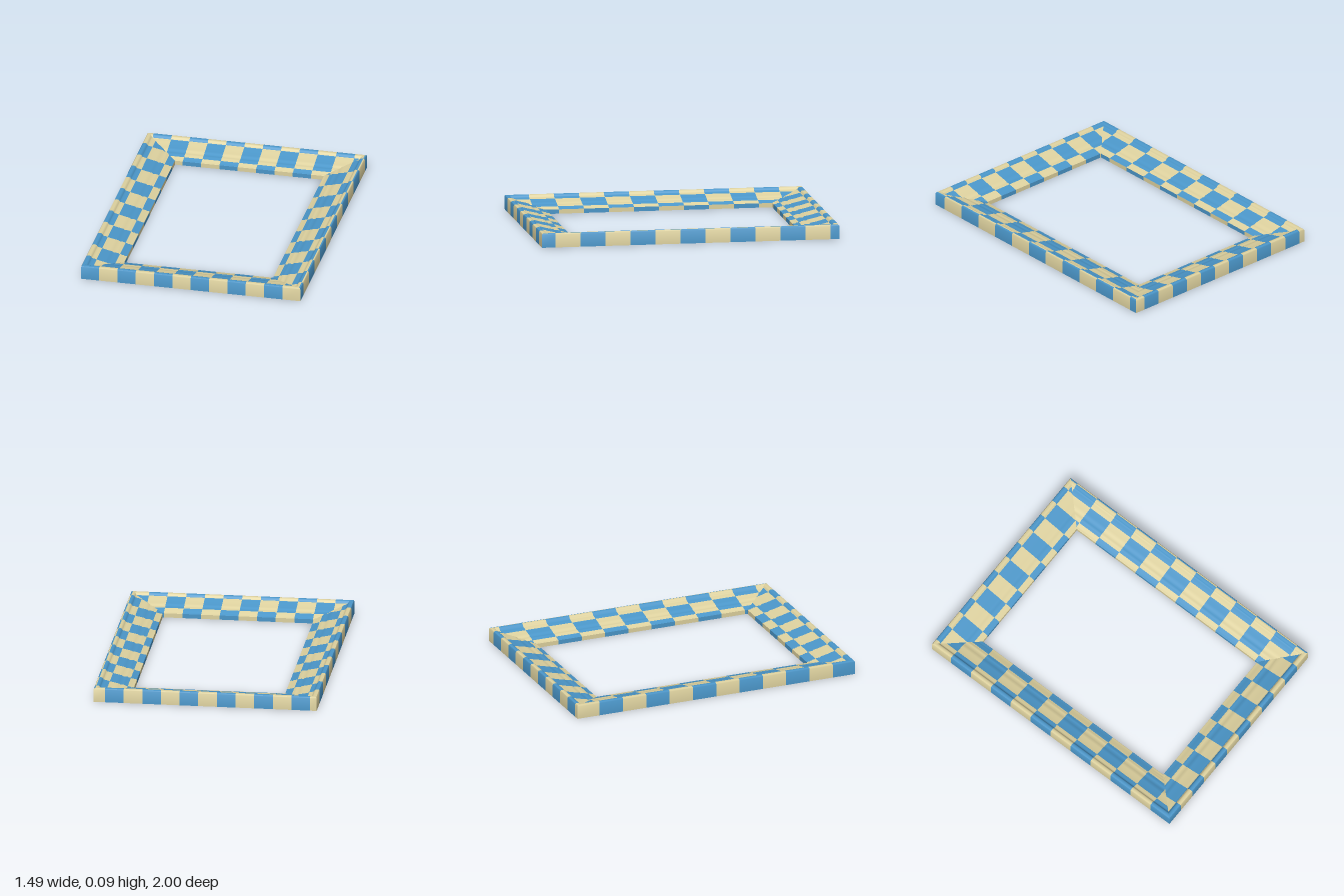
import * as THREE from 'three';
import { toCreasedNormals } from 'three/addons/utils/BufferGeometryUtils.js';

const HALF_X = 0.745, HALF_Z = 1;

// Moulding cross-section: [distance in from the outer edge, height]
const PROFILE = [
  [0, 0], [0, 0.086], [0.004, 0.093], [0.012, 0.095], [0.024, 0.095], [0.032, 0.091],
  [0.036, 0.084], [0.04, 0.079], [0.05, 0.077], [0.06, 0.075], [0.07, 0.072], [0.08, 0.069],
  [0.1, 0.064], [0.12, 0.06], [0.14, 0.056], [0.148, 0.049], [0.165, 0.049],
  [0.18, 0.047], [0.186, 0.042], [0.19, 0.041], [0.2, 0.041], [0.205, 0.037], [0.217, 0.036],
  [0.222, 0.032], [0.234, 0.032], [0.24, 0.029],
  [0.24, 0], [0.19, 0], [0.06, 0], [0, 0],
];

// Each rail: placement, tile size and offset along its length, checker phase,
// rows of the outer wall and inner lip, and where the middle row starts (rim) and ends (inner)
const RAILS = [
  { name: 'frontRail', half: HALF_X, flip: false, step: 0.1245, offset: 0, phase: 1, wall: 1, lip: 1,
    rim: 0.04, inner: 0.18, place: (u, d, y) => [u, y, HALF_Z - d] },
  { name: 'backRail', half: HALF_X, flip: true, step: 0.1245, offset: 0.046, phase: 1, wall: 1, lip: 1,
    rim: 0.04, inner: 0.2, place: (u, d, y) => [u, y, d - HALF_Z] },
  { name: 'leftRail', half: HALF_Z, flip: true, step: 0.168, offset: 0.07, phase: 1, wall: 0, lip: 1,
    rim: 0.08, inner: 0.2, place: (u, d, y) => [HALF_X - d, y, u] },
  { name: 'rightRail', half: HALF_Z, flip: false, step: 0.168, offset: 0, phase: 0, wall: 1, lip: 0,
    rim: 0.07, inner: 0.19, place: (u, d, y) => [d - HALF_X, y, u] },
];

// Checker row of one strip of the profile
function rowOf(rail, a, b) {
  const d = (a[0] + b[0]) / 2;
  if (d < 0.012) return rail.wall;
  if (d > 0.239) return rail.lip;
  if (a[1] === 0 && b[1] === 0) return d > 0.06 && d < 0.19 ? 0 : 1;
  return d > rail.rim && d < rail.inner ? 0 : 1;
}

// Triangles of a mitred rail, sorted into the two tile colours
function railTiles(rail) {
  const tiles = [[], []];
  const first = Math.floor((-rail.half - rail.offset) / rail.step);
  const last = Math.floor((rail.half - rail.offset) / rail.step);
  const triangle = new THREE.Triangle();
  for (let i = 0; i < PROFILE.length - 1; i++) {
    const a = PROFILE[i], b = PROFILE[i + 1];
    const row = rowOf(rail, a, b);
    for (let k = first; k <= last; k++) {
      const u0 = rail.offset + k * rail.step, u1 = u0 + rail.step;
      const corner = (u, [d, y]) => {
        const limit = rail.half - d;
        return rail.place(THREE.MathUtils.clamp(u, -limit, limit), d, y);
      };
      const quad = [corner(u0, a), corner(u1, a), corner(u1, b), corner(u0, b)];
      if (rail.flip) quad.reverse();
      const colour = Math.abs(k + rail.phase + row) % 2;
      for (const ids of [[0, 1, 2], [0, 2, 3]]) {
        const [p, q, r] = ids.map((n) => new THREE.Vector3(...quad[n]));
        if (triangle.set(p, q, r).getArea() < 1e-9) continue;
        for (const n of ids) tiles[colour].push(...quad[n]);
      }
    }
  }
  return tiles;
}

export function createModel() {
  const model = new THREE.Group();
  model.name = 'pictureFrame';
  const blue = new THREE.MeshStandardMaterial({ color: 0x4b97ca });
  blue.name = 'blue';
  const tan = new THREE.MeshStandardMaterial({ color: 0xded29f });
  tan.name = 'tan';

  for (const rail of RAILS) {
    const [blueTiles, tanTiles] = railTiles(rail);
    // One geometry per rail, so shading stays continuous across the tiles
    const geometry = new THREE.BufferGeometry();
    geometry.setAttribute('position', new THREE.Float32BufferAttribute([...blueTiles, ...tanTiles], 3));
    const creased = toCreasedNormals(geometry, 0.8);
    creased.clearGroups();
    creased.addGroup(0, blueTiles.length / 3, 0);
    creased.addGroup(blueTiles.length / 3, tanTiles.length / 3, 1);
    const mesh = new THREE.Mesh(creased, [blue, tan]);
    mesh.name = rail.name;
    model.add(mesh);
  }
  return model;
}
